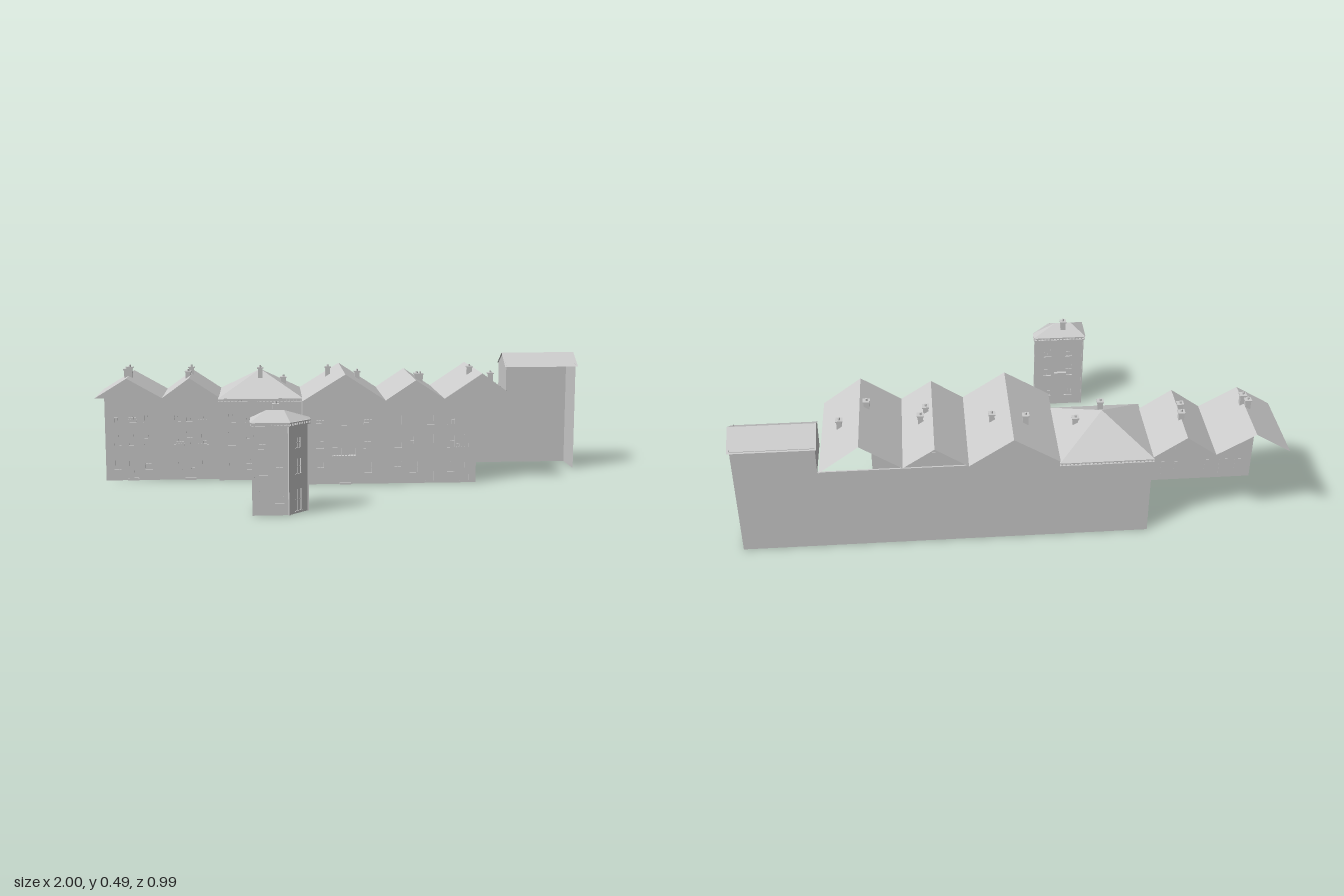
import * as THREE from 'three';

const stone = new THREE.MeshStandardMaterial({ color: 0xcccccc, side: THREE.DoubleSide });
stone.name = 'plain grey';
const EAVE = 0.335, BACK = -0.485, T = 0.006;

export function createModel() {
  const model = new THREE.Group();

  const add = (name, geo, parent = model) => {
    const m = new THREE.Mesh(geo, stone);
    m.name = name;
    parent.add(m);
    return m;
  };
  const box = (name, x, y, z, w, h, d, parent) => {
    const m = add(name, new THREE.BoxGeometry(w, h, d), parent);
    m.position.set(x, y, z);
    return m;
  };
  // flat faces, each a fan of 3D corners
  const faces = (name, polys, parent) => {
    const pos = [];
    for (const p of polys)
      for (let i = 1; i < p.length - 1; i++) pos.push(...p[0], ...p[i], ...p[i + 1]);
    const g = new THREE.BufferGeometry();
    g.setAttribute('position', new THREE.Float32BufferAttribute(pos, 3));
    g.computeVertexNormals();
    return add(name, g, parent);
  };
  // wall in a local x-y plane, with recessed windows: [x, y, width, height]
  const wall = (name, outline, windows, parent = model) => {
    const g = new THREE.Group();
    g.name = name;
    const s = new THREE.Shape(outline.map(p => new THREE.Vector2(...p)));
    for (const [x, y, w, h] of windows) {
      const a = x - w / 2, b = x + w / 2, c = y - h / 2, d = y + h / 2;
      s.holes.push(new THREE.Path([[a, c], [a, d], [b, d], [b, c]].map(p => new THREE.Vector2(...p))));
      box('windowPane', x, y, -T, w, h, 0.002, g);
      box('windowBar', x, y, -T + 0.002, 0.002, h, 0.002, g);
      box('windowBar', x, y, -T + 0.002, w, 0.002, 0.002, g);
      box('windowSill', x, c, 0.001, w + 0.006, 0.003, 0.004, g);
    }
    const geo = new THREE.ExtrudeGeometry(s, { depth: T, bevelEnabled: false });
    geo.translate(0, 0, -T);
    add('wallFace', geo, g);
    parent.add(g);
    return g;
  };
  // a regular grid of upper windows with a door in the given column
  const grid = (cols, doorCol) => cols.flatMap((x, i) => [
    [x, 0.255, 0.026, 0.038], [x, 0.17, 0.028, 0.055],
    i === doorCol ? [x, 0.048, 0.032, 0.08] : [x, 0.065, 0.028, 0.045]]);
  // folded roof running back from the front
  const roof = (name, line, front) => faces(name, line.slice(1).map((b, i) => {
    const a = line[i];
    return [[a[0], a[1], front], [b[0], b[1], front], [b[0], b[1], -0.49], [a[0], a[1], -0.49]];
  }));
  const flowerBox = (x, y, z) => {
    box('flowerBox', x, y - 0.006, z + 0.006, 0.034, 0.008, 0.012);
    for (let i = -1; i <= 1; i++) box('plant', x + i * 0.011, y + 0.003, z + 0.006, 0.008, 0.012, 0.008);
  };

  // left pair of houses
  const leftLine = [[-1, EAVE], [-0.87, 0.415], [-0.73, EAVE], [-0.62, 0.415], [-0.5, EAVE]];
  roof('leftRoof', leftLine, -0.177);
  wall('leftFront', [[-0.96, 0], [-0.5, 0], ...leftLine.slice().reverse(), [-0.96, EAVE]],
    [...grid([-0.91, -0.85, -0.79], 1), ...grid([-0.67, -0.62, -0.56], 1)]).position.z = -0.183;
  for (const p of [[-0.85, 0.25], [-0.66, 0.15], [-0.57, 0.25], [-0.57, 0.15]]) flowerBox(...p, -0.183);

  // right row of three houses
  const rightLine = [[-0.17, EAVE], [0, 0.44], [0.16, EAVE], [0.28, 0.415], [0.395, 0.34], [0.545, 0.44], [0.69, EAVE]];
  roof('rightRoof', rightLine, -0.045);
  wall('rightFront', [[-0.17, 0], [0.525, 0], [0.525, EAVE], ...rightLine.slice().reverse()],
    [...grid([-0.1, 0, 0.09], 1), ...grid([0.21, 0.275, 0.34], 2), ...grid([0.425, 0.48], 1)]).position.z = -0.05;
  for (const p of [[-0.1, 0.25], [0.09, 0.25], [0.46, 0.15]]) flowerBox(...p, -0.05);

  // balcony
  box('balconyFloor', -0.005, 0.115, -0.037, 0.096, 0.006, 0.03);
  box('balconyRail', -0.005, 0.152, -0.023, 0.096, 0.004, 0.004);
  for (let i = 0; i < 9; i++) box('baluster', -0.051 + i * 0.0115, 0.134, -0.023, 0.003, 0.036, 0.003);
  for (const x of [-0.045, 0.035]) box('balconyBracket', x, 0.106, -0.042, 0.006, 0.014, 0.016);
  for (const [x, z] of [[-0.85, -0.183], [-0.62, -0.183], [0, -0.05], [-0.335, -0.155]])
    box('doorStep', x, 0.004, z + 0.004, 0.045, 0.008, 0.012);

  // hipped middle house
  wall('middleFront', [[-0.505, 0], [-0.17, 0], [-0.17, 0.33], [-0.505, 0.33]],
    grid([-0.45, -0.38, -0.3, -0.23], 2)).position.z = -0.155;
  const hipTop = [-0.335, 0.435, -0.32];
  const hip = [[-0.505, EAVE, -0.143], [-0.165, EAVE, -0.143], [-0.165, EAVE, -0.497], [-0.505, EAVE, -0.497]];
  faces('hippedRoof', hip.map((p, i) => [p, hip[(i + 1) % 4], hipTop]));
  for (const y of [0.331, 0.32]) {
    box('cornice', -0.335, y, -0.15, 0.34, 0.004, 0.014);
    box('cornice', -0.335, y, -0.49, 0.34, 0.004, 0.014);
  }
  for (let i = 0; i < 24; i++)
    for (const z of [-0.149, -0.49]) box('dentil', -0.497 + i * 0.0141, 0.325, z, 0.005, 0.008, 0.008);

  // returns between the stepped fronts
  faces('sideReturns', [
    [[-0.17, 0, -0.05], [-0.17, 0, -0.157], [-0.17, EAVE, -0.157], [-0.17, EAVE, -0.05]],
    [[-0.505, 0, -0.155], [-0.505, 0, -0.19], [-0.505, EAVE, -0.19], [-0.505, EAVE, -0.155]]]);

  // long back wall, with one full gable, rising to the tall end house
  wall('backWall', [[-0.5, 0], [0.99, 0], [0.99, 0.44], [0.695, 0.44], [0.695, EAVE], [0.16, EAVE], [0, 0.44],
    [-0.17, EAVE], [-0.5, EAVE]], []).position.z = BACK + T;
  faces('tallHouseEnds', [
    [[0.99, 0, -0.317], [0.99, 0, BACK], [0.99, 0.44, BACK], [0.99, 0.483, -0.4], [0.99, 0.44, -0.317]],
    [[0.695, EAVE, -0.317], [0.695, 0.44, -0.317], [0.695, 0.483, -0.4], [0.695, 0.44, BACK], [0.695, EAVE, BACK]]]);
  faces('tallHouseRoof', [
    [[0.69, 0.435, -0.313], [1, 0.435, -0.313], [1, 0.488, -0.4], [0.69, 0.488, -0.4]],
    [[0.69, 0.488, -0.4], [1, 0.488, -0.4], [1, 0.435, -0.49], [0.69, 0.435, -0.49]]]);

  // corner house standing apart, with a cut-off corner
  const plan = [[-0.362, 0.482], [-0.235, 0.482], [-0.166, 0.408], [-0.166, 0.38], [-0.362, 0.38]];
  const corner = new THREE.Group();
  corner.name = 'cornerHouse';
  model.add(corner);
  const columns = [[0.035, 0.092], [0.05], [], [0.05, 0.14], []];
  plan.forEach((a, i) => {
    const b = plan[(i + 1) % 5], dx = b[0] - a[0], dz = b[1] - a[1], len = Math.hypot(dx, dz);
    const side = wall('cornerHouseWall', [[0, 0], [len, 0], [len, 0.33], [0, 0.33]],
      grid(columns[i], i === 1 ? 0 : -1), corner);
    side.position.set(a[0], 0, a[1]);
    side.rotation.y = -Math.atan2(dz, dx);
    for (const y of [0.331, 0.32]) box('cornice', len / 2, y, 0.003, len + 0.008, 0.004, 0.012, side);
    const n = Math.round(len / 0.013);
    for (let k = 0; k < n; k++) box('dentil', (k + 0.5) * len / n, 0.325, 0.003, 0.005, 0.008, 0.008, side);
    box('cornerPilaster', 0, 0.16, 0.001, 0.008, 0.32, 0.005, side);
  });
  const rim = [[-0.372, 0.491], [-0.23, 0.491], [-0.156, 0.412], [-0.156, 0.37], [-0.372, 0.37]].map(p => [p[0], EAVE, p[1]]);
  const rA = [-0.315, 0.37, 0.43], rB = [-0.25, 0.37, 0.43];
  faces('cornerHouseRoof', [[rim[0], rim[1], rB, rA], [rim[1], rim[2], rB], [rim[2], rim[3], rB],
    [rim[3], rim[4], rA, rB], [rim[4], rim[0], rA]], corner);
  box('rearBalcony', -0.27, 0.155, 0.374, 0.05, 0.012, 0.012, corner);

  // chimneys: x, top, z
  for (const [x, top, z] of [[-0.88, 0.45, -0.3], [-0.865, 0.46, -0.28], [-0.63, 0.44, -0.29], [-0.62, 0.45, -0.36],
    [-0.335, 0.455, -0.275], [-0.24, 0.412, -0.31], [-0.055, 0.45, -0.335], [0.065, 0.435, -0.295],
    [0.305, 0.432, -0.225], [0.325, 0.425, -0.27], [0.52, 0.46, -0.215], [0.62, 0.425, -0.28], [-0.28, 0.4, 0.41]]) {
    const c = new THREE.Group();
    c.name = 'chimney';
    c.position.set(x, top, z);
    box('chimneyStack', 0, -0.033, 0, 0.02, 0.042, 0.02, c);
    box('chimneyCap', 0, -0.011, 0, 0.026, 0.005, 0.026, c);
    add('chimneyPot', new THREE.CylinderGeometry(0.004, 0.005, 0.01, 8), c).position.y = -0.005;
    model.add(c);
  }
  return model;
}
